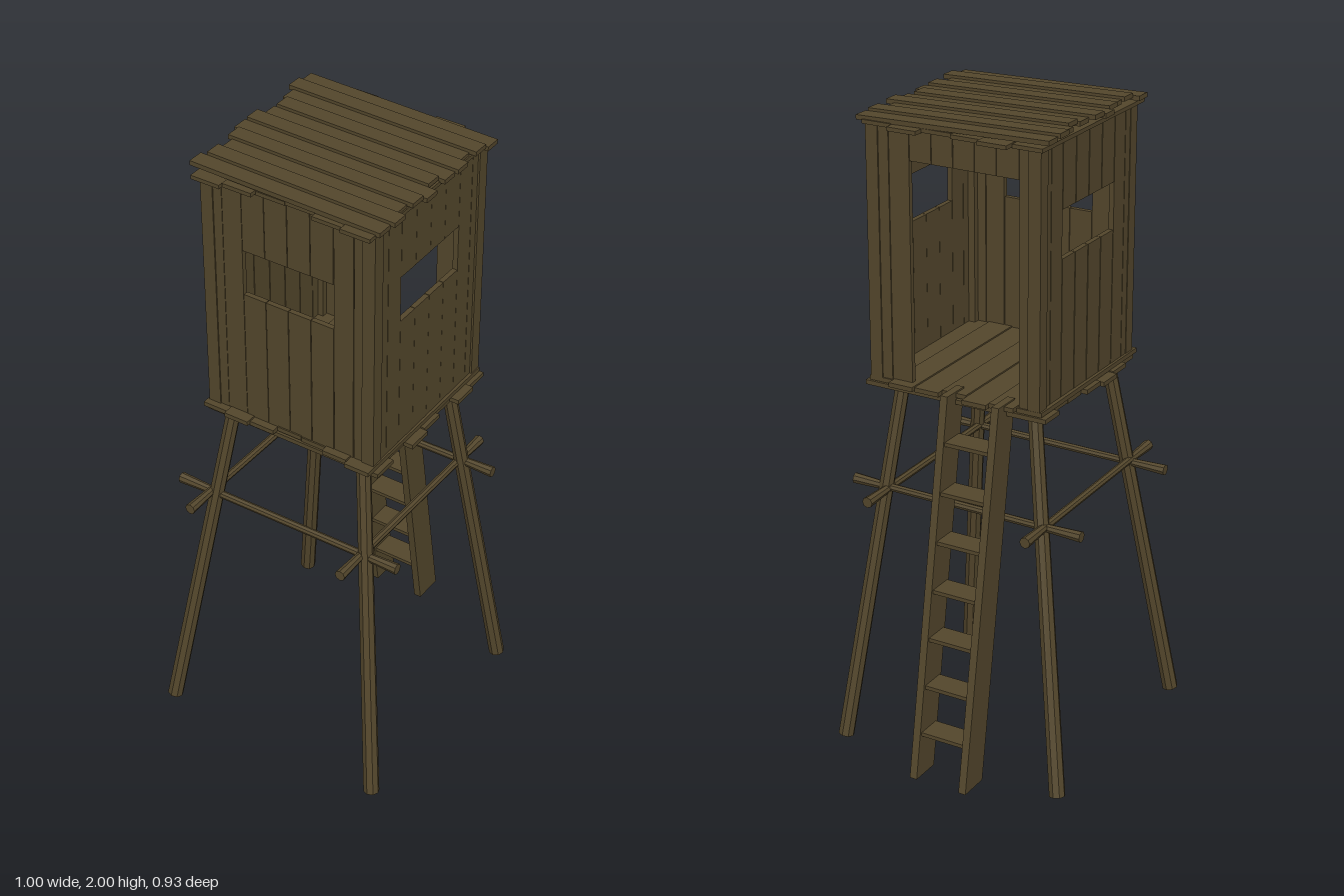
import * as THREE from 'three';

const wood = new THREE.MeshStandardMaterial({ color: 0x54472c, flatShading: true });
const UP = new THREE.Vector3(0, 1, 0);

// repeatable irregularity in the range -1..1
const wobble = (i) => Math.sin(i * 12.9898 + 1.7);

function mesh(name, geometry, parent) {
  const m = new THREE.Mesh(geometry, wood);
  m.name = name;
  parent.add(m);
  return m;
}

function group(name, parent) {
  const g = new THREE.Group();
  g.name = name;
  parent.add(g);
  return g;
}

// box given by its lower and upper corners
function board(name, parent, a, b) {
  const m = mesh(name, new THREE.BoxGeometry(b[0] - a[0], b[1] - a[1], b[2] - a[2]), parent);
  m.position.set((a[0] + b[0]) / 2, (a[1] + b[1]) / 2, (a[2] + b[2]) / 2);
  return m;
}

// round member between two points
function pole(name, parent, from, to, geometryFor) {
  const a = new THREE.Vector3(...from), b = new THREE.Vector3(...to);
  const dir = b.clone().sub(a);
  const m = mesh(name, geometryFor(dir.length()), parent);
  m.position.copy(a).add(b).multiplyScalar(0.5);
  m.quaternion.setFromUnitVectors(UP, dir.normalize());
  return m;
}

// vertical wall boards between the given edges, leaving out one opening
function wall(name, parent, angle, edges, o) {
  const g = group(name, parent);
  g.rotation.y = angle;
  const bottom = 1.19, top = 1.962;
  for (let i = 0; i < edges.length - 1; i++) {
    const u0 = edges[i] + 0.001, u1 = edges[i + 1] - 0.001;
    const out = 0.28 + 0.002 * wobble(i + angle);
    const piece = (v0, v1) => v1 - v0 > 0.01 &&
      board('wallBoard', g, [u0, v0, out - 0.016], [u1, v1, out]);
    const mid = (u0 + u1) / 2;
    if (mid > o.u0 && mid < o.u1) {
      piece(bottom, o.v0);
      piece(o.v1, top);
    } else piece(bottom, top);
  }
  return g;
}

// layer of planks with ragged ends, running along x or z
function deck(name, parent, alongX, y, count, thickness, step, seed) {
  const g = group(name, parent);
  const w = 0.58 / count;
  for (let i = 0; i < count; i++) {
    const s = -0.29 + i * w;
    const lo = -0.3 + 0.017 * wobble(i * 3 + seed);
    const hi = 0.3 + 0.017 * wobble(i * 5 + seed + 2);
    const y0 = y + (i % 2) * step;
    if (alongX) board('plank', g, [lo, y0, s], [hi, y0 + thickness, s + w - 0.002]);
    else board('plank', g, [s, y0, lo], [s + w - 0.002, y0 + thickness, hi]);
  }
  return g;
}

export function createModel() {
  const model = new THREE.Group();
  model.name = 'lookoutTower';
  const tower = group('tower', model);
  tower.position.x = -0.03;
  tower.rotation.y = 0.2;

  // splayed legs
  for (const sx of [-1, 1]) for (const sz of [-1, 1]) {
    pole('leg', tower, [sx * 0.376, 0.004 + (sz < 0 ? 0.012 : 0), sz * 0.376],
      [sx * 0.222, 1.172, sz * 0.222 + 0.016],
      (l) => new THREE.CylinderGeometry(0.022, 0.025, l, 8));
  }

  // cross bars, thicker at their free ends
  const bar = (l) => new THREE.LatheGeometry([
    [0, -l / 2], [0.017, -l / 2], [0.012, -l / 2 + 0.13],
    [0.012, l / 2 - 0.13], [0.017, l / 2], [0, l / 2],
  ].map((p) => new THREE.Vector2(...p)), 8);
  for (const s of [-1, 1]) {
    pole('crossBar', tower, [-0.388, 0.84, s * 0.268], [0.388, 0.83, s * 0.268], bar);
    pole('crossBar', tower, [s * 0.268, 0.828, -0.388], [s * 0.268, 0.836, 0.388], bar);
  }

  // cabin
  const cabin = group('cabin', tower);
  cabin.position.z = 0.028;
  deck('floorJoistBoards', cabin, false, 1.162, 7, 0.014, 0.003, 1);
  deck('floorBoards', cabin, true, 1.178, 7, 0.014, 0.003, 4);

  const edges = [-0.28, -0.215, -0.15, -0.075, 0, 0.075, 0.15, 0.215, 0.28];
  const windowHole = { u0: -0.15, u1: 0.15, v0: 1.61, v1: 1.755 };
  wall('frontWall', cabin, 0, edges, windowHole);
  wall('backWall', cabin, Math.PI, edges, windowHole);
  wall('rightWall', cabin, -Math.PI / 2, edges, windowHole);
  wall('doorWall', cabin, Math.PI / 2,
    [-0.28, -0.21, -0.142, -0.07, 0, 0.07, 0.14, 0.213, 0.28],
    { u0: -0.142, u1: 0.213, v0: 1.19, v1: 1.865 });

  // corner posts
  for (const sx of [-1, 1]) for (const sz of [-1, 1]) {
    const post = mesh('cornerPost', new THREE.BoxGeometry(0.04, 0.772, 0.04), cabin);
    post.position.set(sx * 0.264, 1.576, sz * 0.264);
  }

  // roof: cross boards below, sloping planks above
  deck('roofBattens', cabin, true, 1.954, 6, 0.012, 0.002, 7);
  const roof = group('roof', cabin);
  roof.position.y = 1.97;
  roof.rotation.x = 0.022;
  deck('roofPlanks', roof, false, 0, 11, 0.014, 0.008, 9);

  // ladder: sheared side rails and flat treads
  const ladder = group('ladder', tower);
  const rail = new THREE.Shape([[0.432, 0.03], [0.53, 0.03], [0.332, 1.2], [0.24, 1.2]]
    .map((p) => new THREE.Vector2(...p)));
  for (const z of [-0.15, 0.02]) {
    const m = mesh('ladderRail',
      new THREE.ExtrudeGeometry(rail, { depth: 0.024, bevelEnabled: false }), ladder);
    m.position.z = z;
  }
  for (let i = 0; i < 7; i++) {
    const y = 0.17 + i * 0.148;
    const x = 0.481 - (y - 0.03) * 0.167;
    board('tread', ladder, [x - 0.04, y - 0.006, -0.135], [x + 0.04, y + 0.006, 0.03]);
  }

  return model;
}
